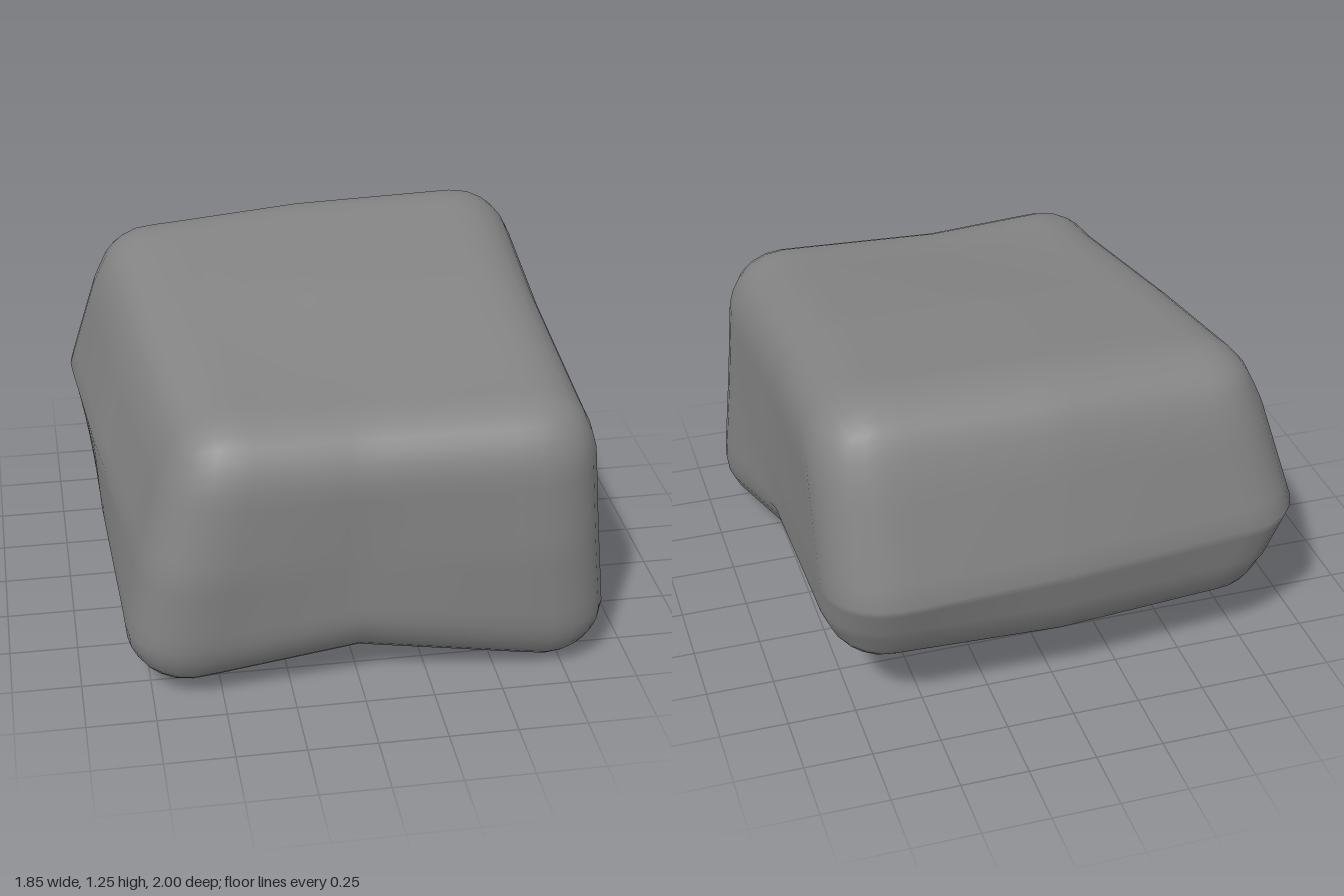
import * as THREE from 'three';
import { mergeVertices } from 'three/addons/utils/BufferGeometryUtils.js';

// Half sizes of the plain block, its middle height, and the edge radius
const HALF = [0.87, 0.58, 0.95];
const MID_Y = 0.62;
const RADIUS = 0.23;

// Control cage of the boulder: [z layer][y row][x column], each running - , 0 , +
const CAGE = [
  [ // back
    [[-0.86, 0.20, -0.85], [0, 0.21, -0.91], [0.85, 0.25, -0.93]],
    [[-0.93, 0.60, -0.90], [0, 0.60, -0.97], [0.86, 0.60, -1.00]],
    [[-0.81, 1.205, -0.80], [0, 1.24, -0.84], [0.86, 1.255, -0.85]],
  ],
  [ // middle
    [[-0.86, 0.09, 0], [0, 0.18, 0], [0.86, 0.23, 0]],
    [[-0.88, 0.60, 0], [0, 0.60, 0], [0.86, 0.60, 0]],
    [[-0.76, 1.16, 0], [0, 1.195, 0], [0.84, 1.19, 0]],
  ],
  [ // front
    [[-0.84, 0.035, 0.97], [0, 0.10, 0.94], [0.925, 0.00, 0.96]],
    [[-0.78, 0.55, 1.00], [0, 0.55, 0.95], [0.88, 0.55, 0.99]],
    [[-0.68, 1.09, 0.98], [0, 1.075, 0.96], [0.85, 1.085, 0.985]],
  ],
];

// Linear weights through -1, 0, +1 that level off towards the corners
function weights(t) {
  const s = THREE.MathUtils.clamp(t * 1.4, -1, 1);
  return [Math.max(0, -s), 1 - Math.abs(s), Math.max(0, s)];
}

// Shifts a point of the block by the blended offsets of the cage
function warp(p) {
  const [wx, wy, wz] = p.toArray().map((v, a) => weights(v / HALF[a]));
  const out = p.toArray();
  for (let k = 0; k < 3; k++)
    for (let j = 0; j < 3; j++)
      for (let i = 0; i < 3; i++) {
        const w = wx[i] * wy[j] * wz[k];
        const plain = [(i - 1) * HALF[0], (j - 1) * HALF[1], (k - 1) * HALF[2]];
        for (let a = 0; a < 3; a++) out[a] += w * (CAGE[k][j][i][a] - plain[a]);
      }
  return p.fromArray(out);
}

// Rounds the edges and corners of the block
function roundBlock(p) {
  const limit = new THREE.Vector3(...HALF).subScalar(RADIUS);
  const core = p.clone().clamp(limit.clone().negate(), limit);
  return p.sub(core).setLength(RADIUS).add(core);
}

function boulderGeometry() {
  let geo = new THREE.BoxGeometry(HALF[0] * 2, HALF[1] * 2, HALF[2] * 2, 22, 16, 24);
  geo.deleteAttribute('uv');
  geo.deleteAttribute('normal');
  geo = mergeVertices(geo);
  const pos = geo.attributes.position;
  const p = new THREE.Vector3();
  for (let i = 0; i < pos.count; i++) {
    warp(roundBlock(p.fromBufferAttribute(pos, i)));
    pos.setXYZ(i, p.x, p.y, p.z);
  }
  geo.computeVertexNormals();
  return geo;
}

export function createModel() {
  const group = new THREE.Group();
  group.name = 'boulder';
  const rock = new THREE.Mesh(boulderGeometry(), new THREE.MeshStandardMaterial({ color: 0x848484 }));
  rock.name = 'rock';
  group.add(rock);
  return group;
}
